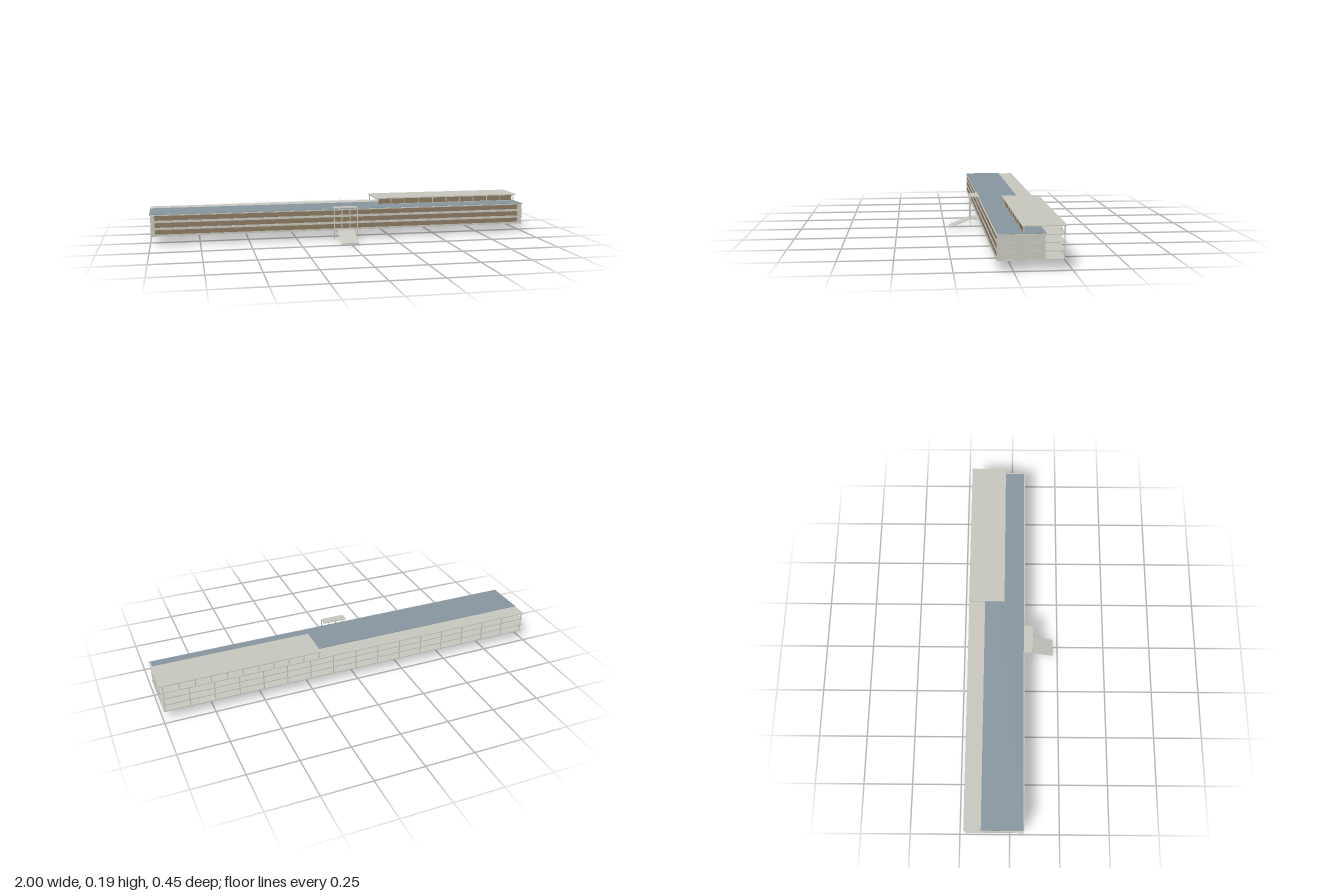
import * as THREE from 'three';

const mat = (name, color) => new THREE.MeshStandardMaterial({ name, color });

export function createModel() {
  const concrete = mat('concrete', 0xc6c6be);
  const roofing = mat('roofing', 0x86969f);
  const glazing = mat('bronze glazing', 0x8c7a60);
  const model = new THREE.Group();
  model.name = 'longBuilding';

  // Box given by its min and max on each axis
  const box = (name, material, x0, x1, y0, y1, z0, z1, parent = model) => {
    const m = new THREE.Mesh(new THREE.BoxGeometry(x1 - x0, y1 - y0, z1 - z0), material);
    m.name = name;
    m.position.set((x0 + x1) / 2, (y0 + y1) / 2, (z0 + z1) / 2);
    parent.add(m);
    return m;
  };
  const group = (name) => {
    const g = new THREE.Group();
    g.name = name;
    model.add(g);
    return g;
  };

  // Main enclosed block
  box('mainBlock', concrete, -0.995, 0.99, 0.046, 0.155, -0.134, 0.065);

  // Floor slabs run past the block to form the rear galleries
  const floors = [0.047, 0.083, 0.119];
  const slabs = group('floorSlabs');
  floors.forEach((y) => box('slab', concrete, -0.998, 0.993, y - 0.002, y + 0.002, -0.222, 0.07, slabs));
  box('roofSlab', concrete, -1, 0.996, 0.152, 0.1555, -0.225, 0.072);
  box('roofCovering', roofing, -1, 0.988, 0.1555, 0.158, -0.14, 0.067);

  // Front facade: end piers, spandrels and three ribbon windows
  const facade = group('frontFacade');
  box('pier', concrete, -0.995, -0.975, 0.047, 0.155, 0.065, 0.0685, facade);
  box('pier', concrete, 0.965, 0.99, 0.047, 0.155, 0.065, 0.0685, facade);
  [[0.047, 0.055], [0.078, 0.09], [0.114, 0.126], [0.15, 0.155]].forEach(([a, b]) =>
    box('spandrel', concrete, -0.975, 0.965, a, b, 0.065, 0.0685, facade));
  [[0.055, 0.078], [0.09, 0.114], [0.126, 0.15]].forEach(([a, b]) => {
    box('ribbonWindow', glazing, -0.975, 0.965, a, b, 0.065, 0.067, facade);
    for (let i = 1; i < 48; i++) {
      const x = -0.975 + (i * 1.94) / 48;
      box('mullion', glazing, x - 0.001, x + 0.001, a, b, 0.067, 0.068, facade);
    }
  });

  // Slender columns along the rear galleries
  const columns = group('galleryColumns');
  for (let i = 0; i <= 16; i++) {
    const x = -0.99 + (i * 1.975) / 16;
    box('column', concrete, x - 0.002, x + 0.002, 0.047, 0.153, -0.219, -0.215, columns);
  }

  // Rooftop pavilion: canopy, glazed front screen, columns
  const pavilion = group('roofPavilion');
  box('pavilionRoof', concrete, 0.19, 1, 0.189, 0.193, -0.224, -0.036, pavilion);
  box('pavilionGlazing', glazing, 0.21, 0.975, 0.16, 0.187, -0.0445, -0.0425, pavilion);
  box('pavilionHead', concrete, 0.21, 0.975, 0.187, 0.189, -0.0455, -0.0415, pavilion);
  box('pavilionSill', concrete, 0.21, 0.975, 0.1555, 0.16, -0.0455, -0.0415, pavilion);
  for (let i = 0; i <= 10; i++) {
    const x = 0.2 + i * 0.0785;
    [-0.0435, -0.217].forEach((z) =>
      box('pavilionColumn', concrete, x - 0.002, x + 0.002, 0.155, 0.19, z - 0.002, z + 0.002, pavilion));
  }

  // Entrance canopy on tall posts
  const entrance = group('entrance');
  box('canopy', concrete, -0.066, 0.06, 0.167, 0.171, 0.068, 0.115, entrance);
  [-0.064, 0.058].forEach((x) =>
    box('canopyPost', concrete, x - 0.002, x + 0.002, 0.005, 0.169, 0.111, 0.115, entrance));
  [-0.024, 0.018].forEach((x) =>
    box('innerPost', concrete, x - 0.002, x + 0.002, 0.047, 0.169, 0.111, 0.115, entrance));

  // Ramp with its landing, extruded across from the side profile
  const profile = new THREE.Shape([
    [0.068, 0.049], [0.117, 0.049], [0.227, 0.003], [0.226, 0], [0.116, 0.045], [0.068, 0.045],
  ].map(([z, y]) => new THREE.Vector2(-z, y)));
  const ramp = new THREE.Mesh(
    new THREE.ExtrudeGeometry(profile, { depth: 0.091, bevelEnabled: false }), concrete);
  ramp.name = 'entranceRamp';
  ramp.rotation.y = Math.PI / 2;
  ramp.position.x = -0.048;
  entrance.add(ramp);

  return model;
}
